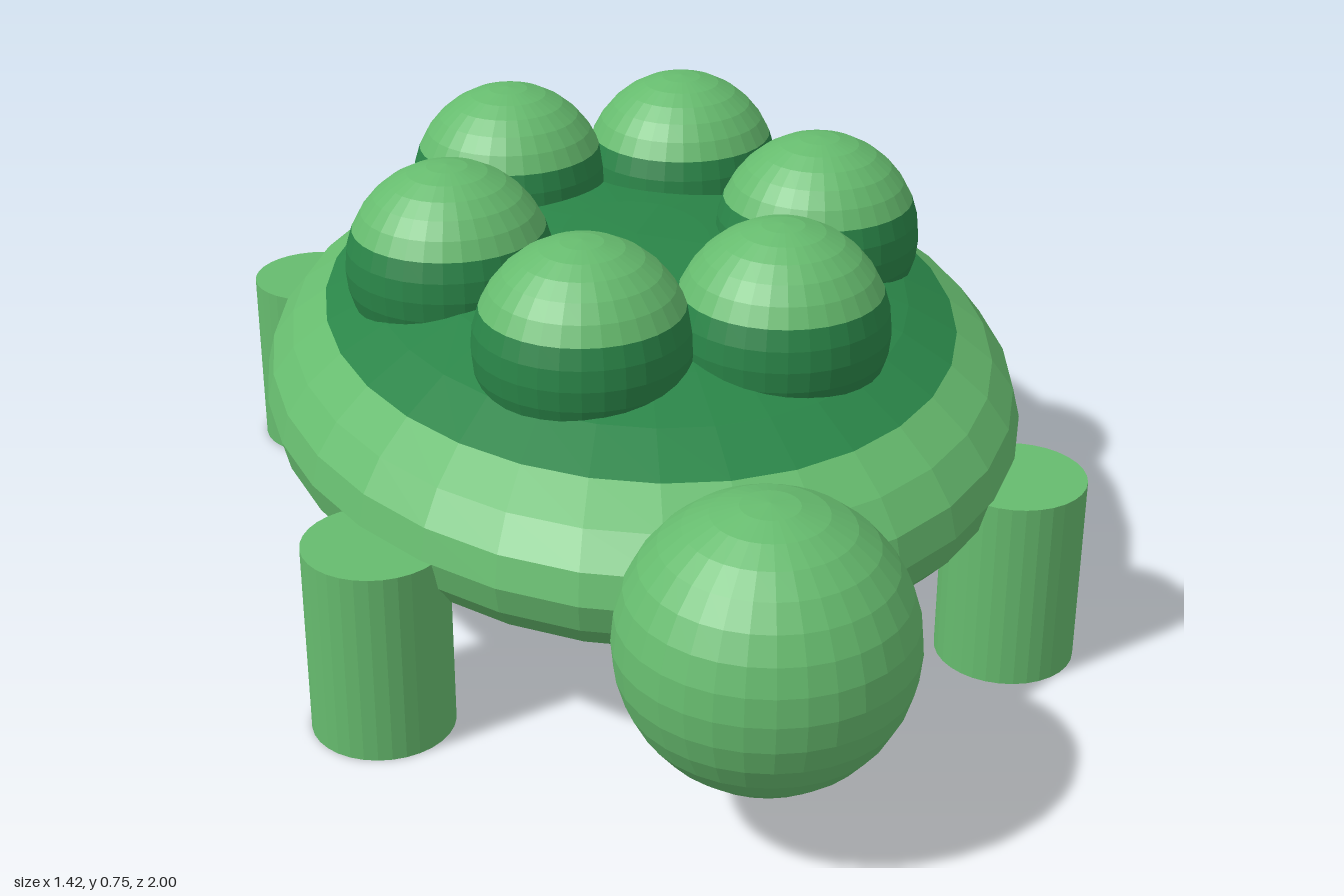
import * as THREE from 'three';

const paint = (name, color) => {
  const m = new THREE.MeshStandardMaterial({ color, flatShading: true });
  m.name = name;
  return m;
};

export function createModel() {
  const skin = paint('light green', 0x66bb6e);
  const shell = paint('dark green', 0x2a8548);
  const model = new THREE.Group();
  model.name = 'turtle';

  // the whole animal is turned slightly about the vertical
  model.position.set(0, 0, -0.155);
  model.rotation.y = 0.127;

  const add = (name, geometry, material, x, y, z, parent = model) => {
    const mesh = new THREE.Mesh(geometry, material);
    mesh.name = name;
    mesh.position.set(x, y, z);
    parent.add(mesh);
    return mesh;
  };

  // sphere of 16 rows cut into an upper and a lower part at a given row
  const rows = (radius, from, to) => new THREE.SphereGeometry(
    radius, 32, to - from, 0, Math.PI * 2, from * Math.PI / 16, (to - from) * Math.PI / 16);

  // flattened body with a dark cap on its back
  const body = new THREE.Group();
  body.name = 'body';
  body.position.y = 0.33;
  body.scale.set(0.657, 0.26, 0.85);
  model.add(body);
  add('shellCap', rows(1, 0, 5), shell, 0, 0, 0, body);
  add('belly', rows(1, 5, 16), skin, 0, 0, 0, body);

  // ring of six shell bumps, light on top and dark below
  for (let i = 0; i < 6; i++) {
    const a = i * Math.PI / 3;
    const bump = new THREE.Group();
    bump.name = 'shellBump';
    bump.position.set(0.328 * Math.cos(a), 0.565, 0.428 * Math.sin(a));
    model.add(bump);
    add('bumpTop', rows(0.181, 0, 6), skin, 0, 0, 0, bump);
    add('bumpBase', rows(0.181, 6, 16), shell, 0, 0, 0, bump);
  }

  // head, with a small dark patch where it meets the shell
  const head = new THREE.SphereGeometry(0.228, 32, 16).toNonIndexed();
  head.clearGroups();
  const p = head.attributes.position;
  for (let i = 0; i < p.count; i += 3) {
    const y = (p.getY(i) + p.getY(i + 1) + p.getY(i + 2)) / 3;
    const z = (p.getZ(i) + p.getZ(i + 1) + p.getZ(i + 2)) / 3;
    head.addGroup(i, 3, y > 0.125 && z < -0.125 ? 1 : 0);
  }
  add('head', head, [skin, shell], 0, 0.333, 0.934);

  // four stubby legs
  for (const x of [-0.528, 0.528]) {
    for (const z of [-0.53, 0.53]) {
      add('leg', new THREE.CylinderGeometry(0.117, 0.117, 0.33, 32), skin, x, 0.165, z);
    }
  }

  const root = new THREE.Group();
  root.name = 'model';
  root.add(model);
  return root;
}
